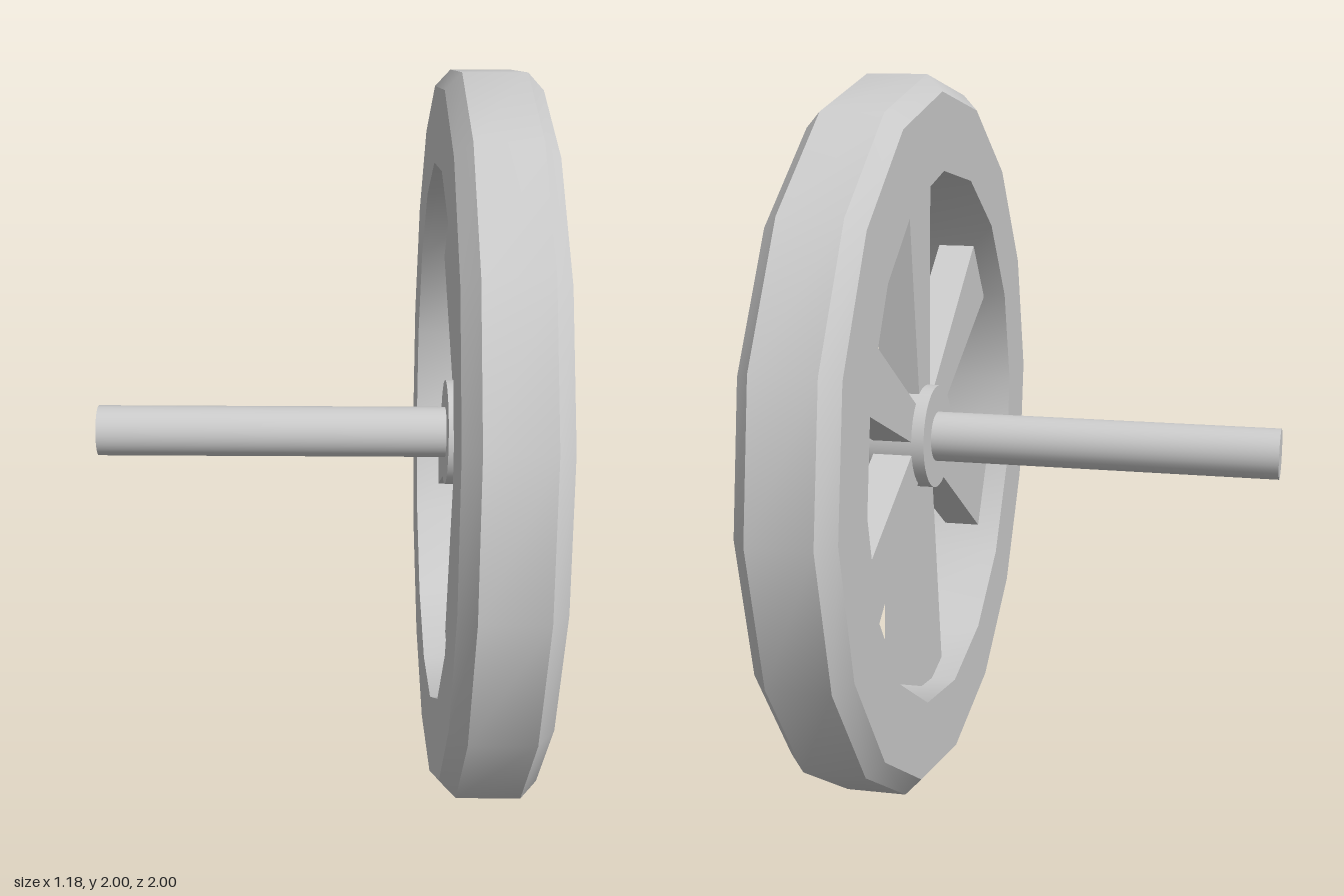
import * as THREE from 'three';
import { toCreasedNormals } from 'three/addons/utils/BufferGeometryUtils.js';

const WHEEL_X = 0.46; // middle plane of the wheel
const AXLE_Y = 1;

export function createModel() {
  const model = new THREE.Group();
  const material = new THREE.MeshStandardMaterial({ color: 0xcccccc });

  const add = (name, geometry, x) => {
    const mesh = new THREE.Mesh(geometry, material);
    mesh.name = name;
    mesh.position.set(x, AXLE_Y, 0);
    model.add(mesh);
    return mesh;
  };

  // Sixteen-sided rim with chamfered outer edges, turned about the x axis
  const profile = [
    [0.745, -0.125], [0.955, -0.125], [1, -0.083],
    [1, 0.083], [0.955, 0.125], [0.745, 0.125], [0.745, -0.125],
  ].map(([r, h]) => new THREE.Vector2(r, h));
  const rim = new THREE.LatheGeometry(profile, 16).rotateZ(-Math.PI / 2);
  add('rim', toCreasedNormals(rim, 0.6), WHEEL_X);

  // Hub disc, slightly thicker than the spokes
  add('hub', new THREE.CylinderGeometry(0.145, 0.145, 0.18, 32).rotateZ(Math.PI / 2), WHEEL_X);

  // Axle running from the hub to the far end
  const axleEnd = -0.595;
  const axleLength = WHEEL_X - axleEnd;
  add('axle', new THREE.CylinderGeometry(0.07, 0.07, axleLength, 32).rotateZ(Math.PI / 2),
    axleEnd + axleLength / 2);

  // Six flat spokes that widen toward the rim
  const depth = 0.11;
  const outline = new THREE.Shape([
    [-0.05, 0.08], [0.05, 0.08], [0.111, 0.76], [-0.111, 0.76],
  ].map(([w, r]) => new THREE.Vector2(w, r)));
  const spoke = new THREE.ExtrudeGeometry(outline, { depth, bevelEnabled: false })
    .translate(0, 0, -depth / 2)
    .rotateY(Math.PI / 2);
  for (let i = 0; i < 6; i++) {
    add(`spoke${i + 1}`, spoke, WHEEL_X).rotation.x = (i * Math.PI) / 3;
  }

  return model;
}
